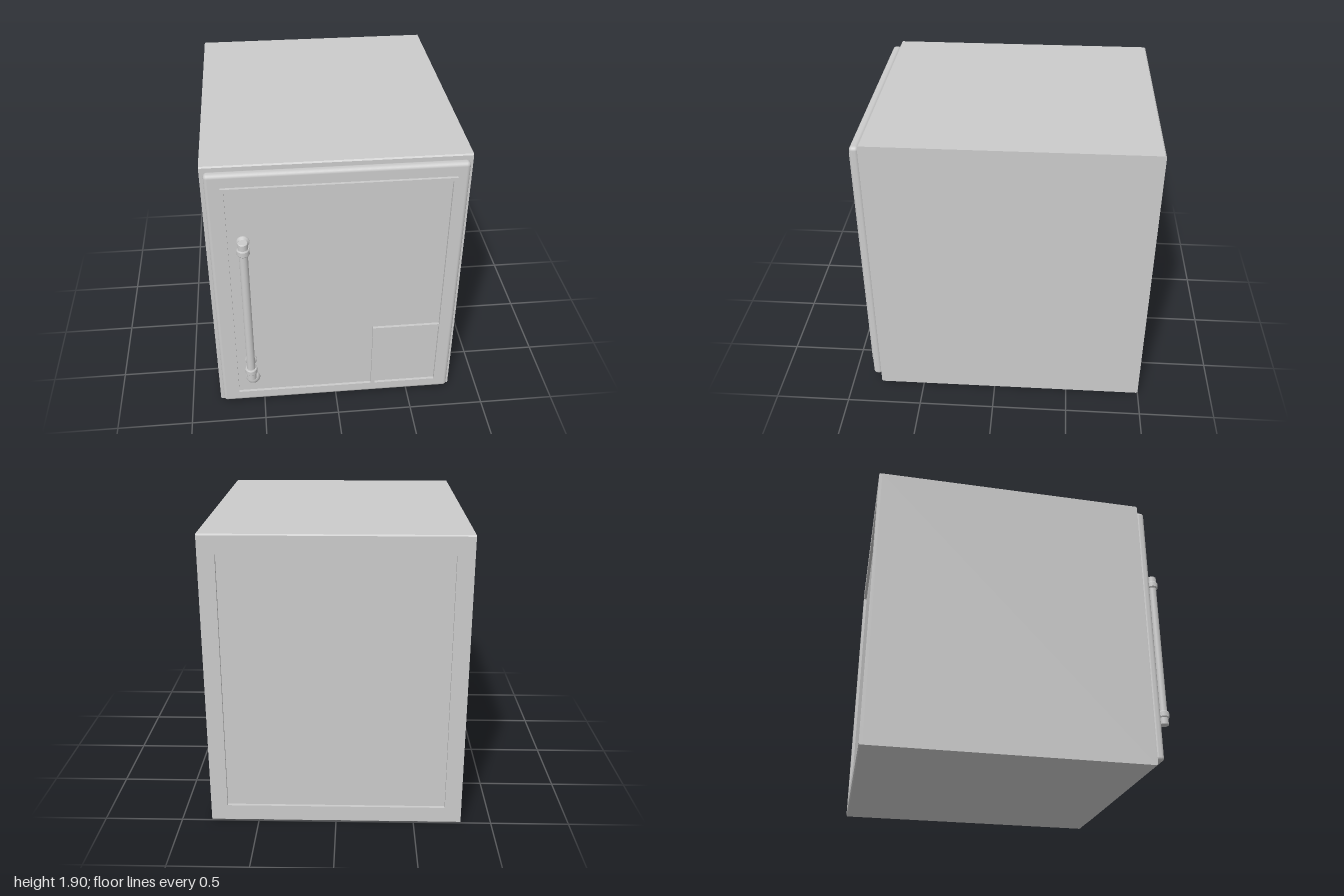
import * as THREE from 'three';
import { RoundedBoxGeometry } from 'three/addons/geometries/RoundedBoxGeometry.js';

const grey = new THREE.MeshStandardMaterial({ color: 0xcccccc });

function add(parent, name, geometry, x = 0, y = 0, z = 0) {
  const mesh = new THREE.Mesh(geometry, grey);
  mesh.name = name;
  mesh.position.set(x, y, z);
  parent.add(mesh);
  return mesh;
}

const points = (list) => list.map(([x, y]) => new THREE.Vector2(x, y));

// Extrudes a side profile of [z, y] corners along x, centred on x = 0.
function sideExtrude(profile, width) {
  const shape = new THREE.Shape(points(profile.map(([z, y]) => [-z, y])));
  return new THREE.ExtrudeGeometry(shape, { depth: width, bevelEnabled: false })
    .translate(0, 0, -width / 2)
    .rotateY(Math.PI / 2);
}

// Lathe with hard edges: every profile segment is turned on its own.
function turned(parent, name, profile, segments = 32) {
  const group = new THREE.Group();
  group.name = name;
  for (let i = 1; i < profile.length; i++) {
    add(group, name + 'Surface', new THREE.LatheGeometry(points([profile[i - 1], profile[i]]), segments));
  }
  parent.add(group);
  return group;
}

function buildCabinet() {
  const cabinet = new THREE.Group();
  cabinet.name = 'cabinet';
  const W = 1.61, H = 1.9, c = 0.008, back = -0.98;

  // Main box with slightly eased front edges
  add(cabinet, 'body', sideExtrude([
    [back, 0], [0.8 - c, 0], [0.8, c], [0.8, H - c], [0.8 - c, H], [back, H],
  ], W));

  // Raised rim around the recessed back panel
  add(cabinet, 'backRailBottom', sideExtrude([[back, 0], [back, 0.11], [-1, 0.11], [-1, c], [c - 1, 0]], W));
  add(cabinet, 'backRailTop', sideExtrude([[back, 1.78], [back, H], [c - 1, H], [-1, H - c], [-1, 1.78]], W));
  for (const s of [-1, 1]) {
    add(cabinet, 'backStile', new THREE.BoxGeometry(0.105, 1.67, 0.02), s * 0.7525, 0.945, -0.99);
  }
  return cabinet;
}

function buildDoor() {
  const door = new THREE.Group();
  door.name = 'door';
  add(door, 'doorSlab', new RoundedBoxGeometry(1.56, 1.835, 0.06, 5, 0.024), 0, 0.958, 0.83);

  // Thin raised trim framing an L-shaped panel and a small corner panel
  const trim = new THREE.Shape(points([[-0.69, 0.11], [0.705, 0.11], [0.705, 1.79], [-0.69, 1.79]]));
  trim.holes.push(
    new THREE.Path(points([
      [-0.67, 0.138], [-0.67, 1.765], [0.68, 1.765], [0.68, 0.645], [0.237, 0.645], [0.237, 0.138],
    ])),
    new THREE.Path(points([[0.262, 0.138], [0.262, 0.622], [0.68, 0.622], [0.68, 0.138]])),
  );
  add(door, 'doorTrim', new THREE.ExtrudeGeometry(trim, { depth: 0.023, bevelEnabled: false }), 0, 0, 0.855);

  add(door, 'knob', new THREE.SphereGeometry(0.048, 32, 20), -0.57, 0.263, 0.855);
  return door;
}

function buildHandle() {
  const handle = new THREE.Group();
  handle.name = 'handle';
  const x = -0.577, z = 0.962;

  // Turned bar with an end cap and a chamfered collar at each end
  const bar = turned(handle, 'handleBar', [
    [0, 0.355], [0.027, 0.355], [0.031, 0.359], [0.031, 0.404],
    [0.035, 0.404], [0.039, 0.41], [0.039, 0.442], [0.035, 0.448], [0.027, 0.448],
    [0.027, 1.382], [0.035, 1.382], [0.039, 1.388], [0.039, 1.42], [0.035, 1.426],
    [0.031, 1.426], [0.031, 1.466], [0.027, 1.47], [0, 1.47],
  ]);
  bar.position.set(x, 0, z);

  // Standoffs with flared feet
  for (const y of [0.425, 1.404]) {
    const post = turned(handle, 'handleStandoff', [
      [0.04, 0], [0.04, 0.01], [0.026, 0.019], [0.016, 0.026], [0.016, 0.09],
    ], 24);
    post.rotation.x = Math.PI / 2;
    post.position.set(x, y, 0.858);
  }
  return handle;
}

export function createModel() {
  const model = new THREE.Group();
  model.name = 'miniFridge';
  model.add(buildCabinet(), buildDoor(), buildHandle());
  return model;
}
